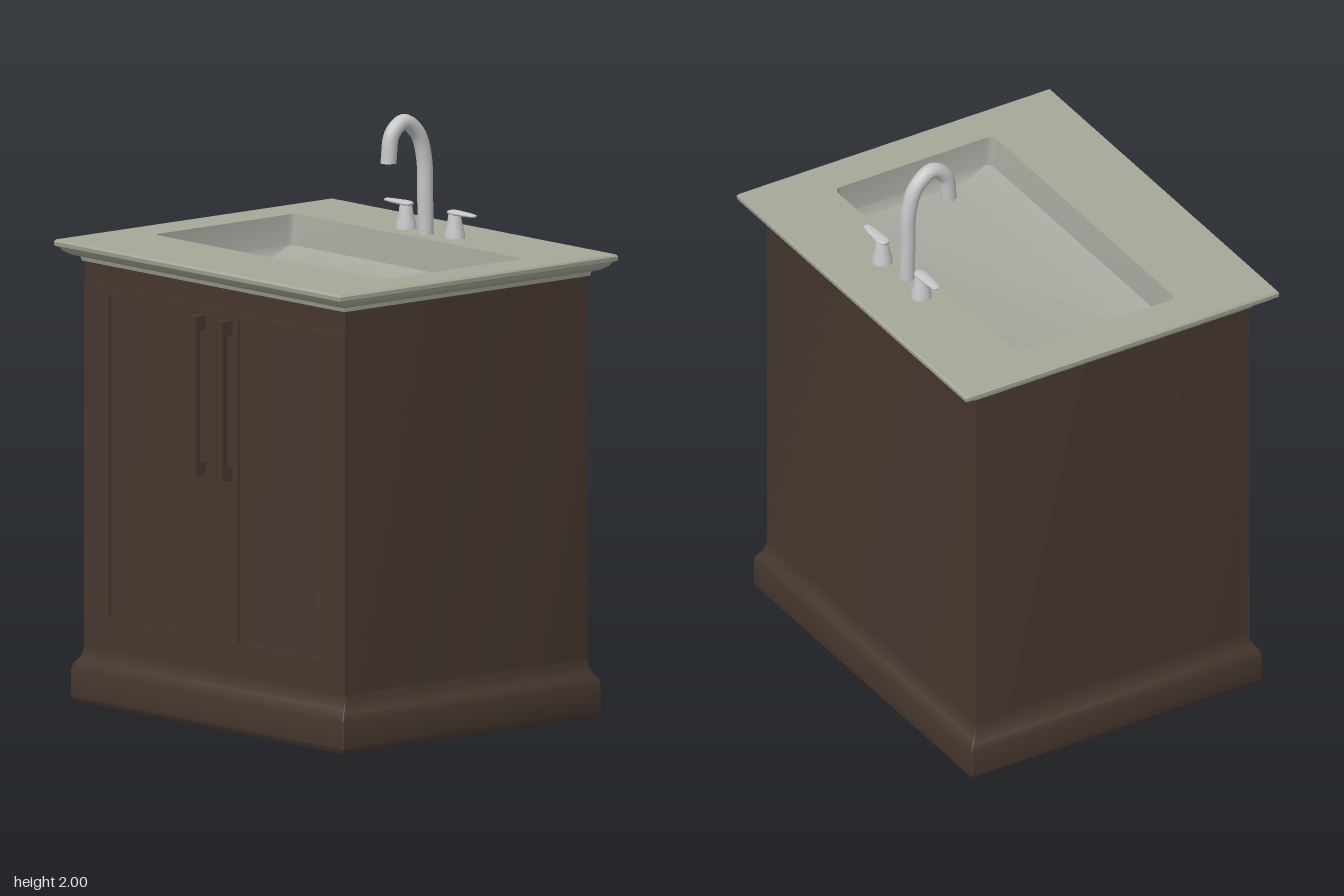
import * as THREE from 'three';
import { toCreasedNormals } from 'three/addons/utils/BufferGeometryUtils.js';

const material = (name, color, side = THREE.FrontSide) => {
  const m = new THREE.MeshStandardMaterial({ color, side });
  m.name = name;
  return m;
};

// Skins a stack of rounded rectangles: each level is [halfX, halfZ, y, radius, centreZ].
function loft(levels, capStart, capEnd) {
  const steps = 4;
  const loops = levels.map(([hx, hz, y, r = 0.002, cz = 0]) => {
    const loop = [];
    for (let q = 0; q < 4; q++) {
      const sx = q === 0 || q === 3 ? 1 : -1, sz = q < 2 ? -1 : 1;
      for (let i = 0; i <= steps; i++) {
        const a = (q + i / steps) * Math.PI / 2;
        loop.push([sx * (hx - r) + r * Math.cos(a), y, cz + sz * (hz - r) - r * Math.sin(a)]);
      }
    }
    return loop;
  });
  const pos = [], n = loops[0].length;
  const tri = (a, b, c) => pos.push(...a, ...b, ...c);
  for (let k = 0; k < loops.length - 1; k++) {
    for (let i = 0; i < n; i++) {
      const j = (i + 1) % n, lo = loops[k], hi = loops[k + 1];
      tri(lo[i], lo[j], hi[j]);
      tri(lo[i], hi[j], hi[i]);
    }
  }
  const first = loops[0], last = loops[loops.length - 1];
  for (let i = 1; i < n - 1; i++) {
    if (capStart) tri(first[0], first[i + 1], first[i]);
    if (capEnd) tri(last[0], last[i], last[i + 1]);
  }
  const g = new THREE.BufferGeometry();
  g.setAttribute('position', new THREE.Float32BufferAttribute(pos, 3));
  return toCreasedNormals(g, 0.5);
}

const rect = (target, x0, y0, x1, y1) => target.moveTo(x0, y0).lineTo(x1, y0).lineTo(x1, y1).lineTo(x0, y1).closePath();

export function createModel() {
  const model = new THREE.Group();
  model.name = 'bathroomVanity';
  const wood = material('darkWood', 0x46372f);
  const stone = material('stoneTop', 0xa5a798);
  const ceramic = material('basinCeramic', 0xa6a79e);
  const metal = material('brushedMetal', 0xc4c5c6, THREE.DoubleSide);

  const add = (name, geometry, mat, parent = model, x = 0, y = 0, z = 0) => {
    const mesh = new THREE.Mesh(geometry, mat);
    mesh.name = name;
    mesh.position.set(x, y, z);
    parent.add(mesh);
    return mesh;
  };

  // Cabinet carcass, its front set back behind the door frames
  add('cabinetBody', loft([
    [0.67, 0.535, 0.1, 0.002, -0.005],
    [0.67, 0.535, 1.515, 0.002, -0.005],
  ]), wood);

  // Moulded plinth
  add('plinth', loft([
    [0.692, 0.567, 0.004, 0.006],
    [0.7, 0.575, 0.02, 0.006],
    [0.7, 0.575, 0.115, 0.006],
    [0.694, 0.569, 0.135, 0.006],
    [0.68, 0.552, 0.155, 0.004],
    [0.673, 0.543, 0.175, 0.002],
    [0.67, 0.54, 0.2, 0.002],
  ], true, true), wood);

  // Door frames around recessed panels, and the rail above
  const frame = rect(new THREE.Shape(), -0.67, 0.19, 0.67, 1.428);
  for (const s of [-1, 1]) frame.holes.push(rect(new THREE.Path(), s * 0.12, 0.305, s * 0.545, 1.405));
  add('doorFrames', new THREE.ExtrudeGeometry(frame, { depth: 0.012, bevelEnabled: false }), wood, model, 0, 0, 0.529);
  add('topRail', new THREE.BoxGeometry(1.34, 0.08, 0.01), wood, model, 0, 1.472, 0.533);

  // Door pulls
  for (const s of [-1, 1]) {
    const pull = new THREE.Group();
    pull.name = s > 0 ? 'leftDoorPull' : 'rightDoorPull';
    pull.position.x = s * 0.07;
    model.add(pull);
    add('pullBar', new THREE.BoxGeometry(0.046, 0.546, 0.022), wood, pull, 0, 1.128, 0.574);
    for (const y of [0.879, 1.377]) add('pullPost', new THREE.BoxGeometry(0.046, 0.048, 0.036), wood, pull, 0, y, 0.555);
  }

  // Countertop with moulded edge and basin opening
  const cz = -0.012;
  const rim = [0.587, 0.314, 1.58, 0.025, cz];
  add('countertop', loft([
    [0.6, 0.47, 1.508],
    [0.674, 0.548, 1.508],
    [0.676, 0.552, 1.522],
    [0.695, 0.575, 1.528],
    [0.714, 0.598, 1.542],
    [0.72, 0.606, 1.553],
    [0.734, 0.618, 1.559],
    [0.735, 0.62, 1.573],
    [0.73, 0.615, 1.58],
    rim,
  ]), stone);

  // Sunken basin with sloping floor edges
  add('basin', loft([
    rim,
    [0.582, 0.3, 1.475, 0.025, cz],
    [0.565, 0.21, 1.445, 0.02, cz],
  ], false, true), ceramic);

  // Gooseneck spout
  const path = new THREE.CatmullRomCurve3([
    [1.575, -0.4], [1.7, -0.397], [1.84, -0.392], [1.925, -0.365],
    [1.973, -0.302], [1.937, -0.25], [1.84, -0.233],
  ].map(([y, z]) => new THREE.Vector3(0, y, z)));
  const faucet = new THREE.Group();
  faucet.name = 'faucet';
  model.add(faucet);
  add('spout', new THREE.TubeGeometry(path, 48, 0.027, 16), metal, faucet);
  const tip = add('spoutTip', new THREE.CircleGeometry(0.027, 16), metal, faucet, 0, 1.84, -0.233);
  tip.rotation.x = Math.PI / 2;

  // Tap handles: flared base and tapered lever
  const base = [[0.036, 0], [0.034, 0.02], [0.025, 0.055], [0.022, 0.08], [0.017, 0.092], [0, 0.095]]
    .map(([r, y]) => new THREE.Vector2(r, y));
  const leverProfile = [[0, -0.028], [0.015, -0.024], [0.023, -0.008], [0.023, 0.01], [0.019, 0.06], [0.014, 0.098], [0.008, 0.104], [0, 0.105]]
    .map(([r, y]) => new THREE.Vector2(r, y));
  for (const s of [-1, 1]) {
    const tap = new THREE.Group();
    tap.name = s > 0 ? 'leftTap' : 'rightTap';
    tap.position.set(s * 0.125, 1.578, -0.42);
    model.add(tap);
    add('tapBase', new THREE.LatheGeometry(base, 20), metal, tap);
    const lever = add('tapLever', new THREE.LatheGeometry(leverProfile, 16), metal, tap, 0, 0.088, 0);
    lever.rotation.z = -s * Math.PI / 2;
    lever.scale.x = 0.4;
  }
  return model;
}
